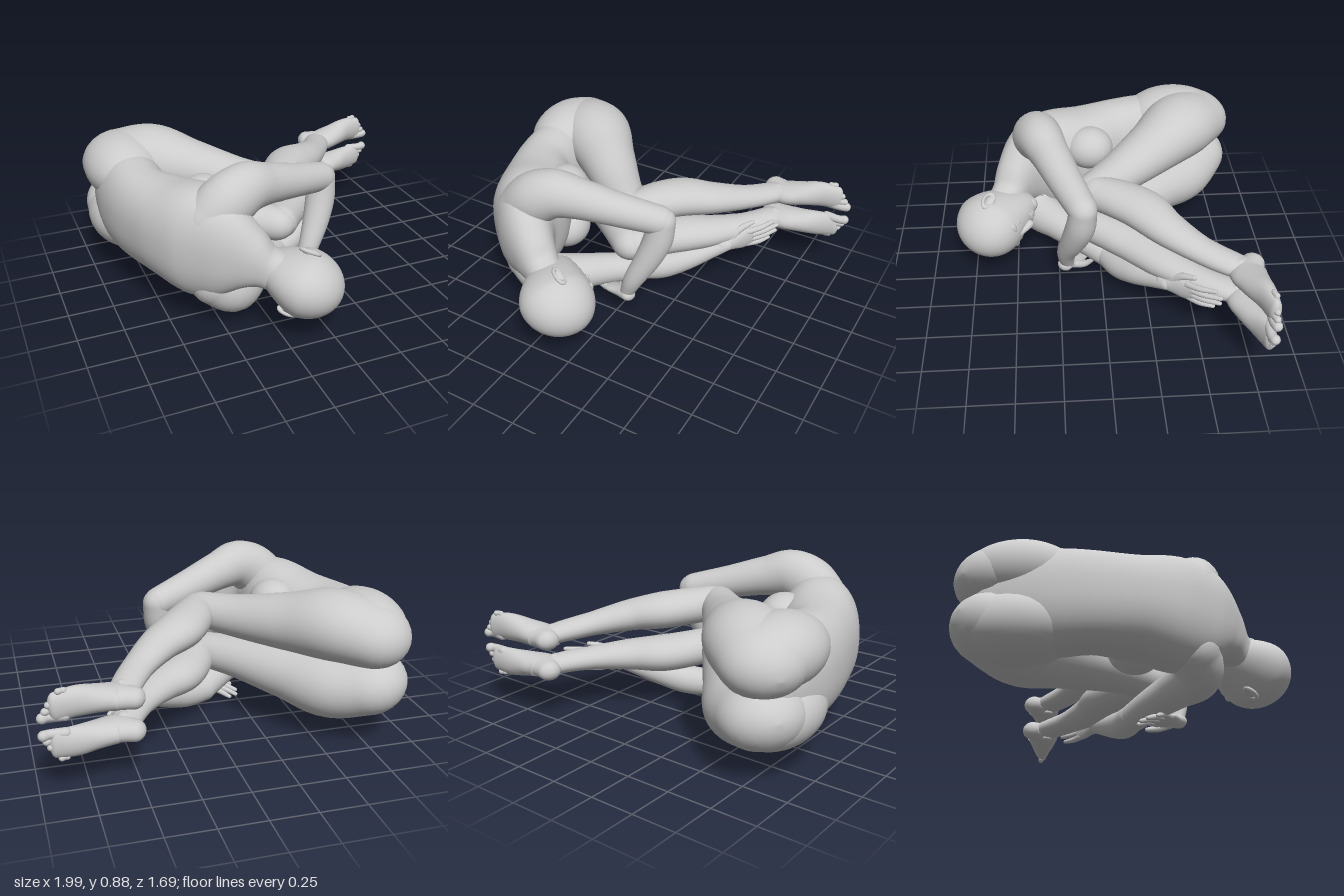
import * as THREE from 'three';

const V = (x, y, z) => new THREE.Vector3(x, y, z);
const material = new THREE.MeshStandardMaterial({ color: 0xcccccc, roughness: 0.8 });
const UP = V(0, 1, 0);

function addMesh(parent, name, geometry) {
  const mesh = new THREE.Mesh(geometry, material);
  mesh.name = name;
  parent.add(mesh);
  return mesh;
}

// Smooth limb through sections [x, y, z, sideRadius, upRadius] with rounded ends;
// power below 1 makes the cross-section boxier
function loft(sections, { up = UP, steps = 6, sides = 28, cap = 1, power = 1 } = {}) {
  const path = new THREE.CatmullRomCurve3(sections.map(s => V(s[0], s[1], s[2])));
  const radii = new THREE.CatmullRomCurve3(sections.map(s => V(s[3], s[4] ?? s[3], 0)));
  const positions = [], index = [];
  const bulge = v => Math.sign(v) * Math.abs(v) ** power;
  let rings = 0;
  const ring = (t, scale, offset) => {
    const T = path.getTangent(t), c = path.getPoint(t), r = radii.getPoint(t);
    const u = up.clone().addScaledVector(T, -up.dot(T)).normalize();
    const s = u.clone().cross(T);
    c.addScaledVector(T, offset * cap * Math.min(r.x, r.y));
    for (let j = 0; j < sides; j++) {
      const a = (j / sides) * Math.PI * 2;
      const p = c.clone().addScaledVector(s, bulge(Math.cos(a)) * r.x * scale)
        .addScaledVector(u, bulge(Math.sin(a)) * r.y * scale);
      positions.push(p.x, p.y, p.z);
    }
    rings++;
  };
  const n = (sections.length - 1) * steps, q = 7;
  for (let k = 0; k < q; k++) {
    const f = (k / q) * Math.PI / 2;
    ring(0, Math.max(Math.sin(f), 0.002), -Math.cos(f));
  }
  for (let i = 0; i <= n; i++) ring(i / n, 1, 0);
  for (let k = q - 1; k >= 0; k--) {
    const f = (k / q) * Math.PI / 2;
    ring(1, Math.max(Math.sin(f), 0.002), Math.cos(f));
  }
  for (let i = 0; i < rings - 1; i++) for (let j = 0; j < sides; j++) {
    const j2 = (j + 1) % sides;
    const a = i * sides + j, b = i * sides + j2, c = b + sides, d = a + sides;
    index.push(a, b, c, a, c, d);
  }
  const g = new THREE.BufferGeometry();
  g.setAttribute('position', new THREE.Float32BufferAttribute(positions, 3));
  g.setIndex(index);
  g.computeVertexNormals();
  return g;
}

function ellipsoid(parent, name, p, r) {
  const m = addMesh(parent, name, new THREE.SphereGeometry(1, 32, 24));
  m.position.set(...p);
  m.scale.set(...r);
  return m;
}

// Hand in local axes: +z to the fingertips, +y the back of the hand, thumb on the given x side
function hand(name, wrist, tip, backNormal, thumb) {
  const g = new THREE.Group();
  g.name = name;
  const z = tip.clone().sub(wrist).normalize();
  const y = backNormal.clone().addScaledVector(z, -backNormal.dot(z)).normalize();
  g.matrix.makeBasis(y.clone().cross(z), y, z).setPosition(wrist);
  g.matrix.decompose(g.position, g.quaternion, g.scale);
  addMesh(g, 'palm', loft([[0, 0, -0.03, 0.043, 0.036], [0, 0, 0.04, 0.05, 0.032],
    [0, 0, 0.11, 0.066, 0.027], [0, 0, 0.165, 0.062, 0.02]]));
  [0.145, 0.175, 0.165, 0.12].forEach((len, i) => {
    const x = thumb * (0.047 - i * 0.031), out = x * 0.25;
    addMesh(g, 'finger', loft([[x, 0, 0.14, 0.019], [x + out * 0.5, 0.006, 0.16 + len * 0.45, 0.017],
      [x + out, -0.008, 0.165 + len, 0.012]], { sides: 12, steps: 4 }));
  });
  addMesh(g, 'thumb', loft([[thumb * 0.03, -0.005, 0.03, 0.026], [thumb * 0.075, -0.012, 0.095, 0.022],
    [thumb * 0.095, -0.016, 0.18, 0.013]], { sides: 12, steps: 4 }));
  return g;
}

// Foot with sole toward -z and toes toward +x; big = side (in y) of the big toe
function foot(heelY, toeY, big) {
  const g = new THREE.Group();
  g.name = 'foot';
  const mid = (heelY + toeY) / 2;
  addMesh(g, 'footBody', loft([[0.525, heelY, -0.768, 0.064, 0.054], [0.6, heelY, -0.728, 0.1, 0.06],
    [0.7, mid, -0.745, 0.083, 0.067], [0.81, toeY, -0.777, 0.054, 0.078],
    [0.905, toeY + big * 0.008, -0.797, 0.034, 0.074]]));
  for (let i = 0; i < 5; i++) {
    const y = toeY + big * (0.058 - i * 0.032), r = i ? 0.02 - i * 0.001 : 0.027;
    const end = 0.967 - i * 0.012 - i * i * 0.002;
    addMesh(g, 'toe', loft([[0.86, y, -0.795, r], [end - 0.025, y, -0.793, r * 0.9],
      [end, y, -0.803, r]], { sides: 12, steps: 4 }));
  }
  return g;
}

function leg(name, hipY, y, heelY, toeY, big) {
  const g = new THREE.Group();
  g.name = name;
  addMesh(g, 'thigh', loft([[-0.77, hipY[0], -0.625, 0.225, 0.175], [-0.615, hipY[1], -0.52, 0.222, 0.19],
    [-0.42, (hipY[1] + y[0]) / 2, -0.342, 0.173, 0.158], [-0.2, y[0], -0.125, 0.13, 0.12],
    [-0.04, y[0], 0.03, 0.105, 0.1]], { sides: 40, cap: 1.2 }));
  // buttock carries the hip smoothly into the back
  ellipsoid(g, 'buttock', [-0.775, (hipY[0] + hipY[1]) / 2, -0.5], [0.22, 0.186, 0.31]);
  const plan = [[0.0, 0.025, 0.1, 0.098], [0.07, -0.1, 0.125, 0.1], [0.165, -0.225, 0.134, 0.1],
    [0.3, -0.335, 0.112, 0.086], [0.45, -0.505, 0.085, 0.064], [0.54, -0.65, 0.08, 0.056],
    [0.57, -0.72, 0.07, 0.05]];
  addMesh(g, 'lowerLeg', loft(plan.map(([x, z, a, b], i) => [x, y[i], z, a, b])));
  ellipsoid(g, 'kneecap', [0.0, y[0], 0.085], [0.05, 0.06, 0.05]);
  for (const s of [-1, 1]) ellipsoid(g, 'ankleBone', [0.565, heelY + s * 0.045, -0.685], [0.032, 0.02, 0.032]);
  g.add(foot(heelY, toeY, big));
  return g;
}

// Head in local axes: y to the crown, z to the face
function head() {
  const g = new THREE.Group();
  g.name = 'head';
  const y = V(0.8, -0.3, 0.45).normalize();
  const z = V(0.45, -0.1, -0.9);
  z.addScaledVector(y, -z.dot(y)).normalize();
  g.matrix.makeBasis(y.clone().cross(z), y, z).setPosition(-0.13, 0.29, 0.63);
  g.matrix.decompose(g.position, g.quaternion, g.scale);
  const skull = new THREE.SphereGeometry(1, 48, 36), p = skull.attributes.position;
  for (let i = 0; i < p.count; i++) {
    const vx = p.getX(i), vy = p.getY(i), vz = p.getZ(i);
    const low = Math.max(0, -vy), front = Math.max(0, vz);
    // jaw narrows and moves forward, face flattens
    p.setXYZ(i, vx * 0.178 * (1 - 0.28 * low),
      vy * (0.215 + 0.05 * low),
      vz * (0.218 - 0.025 * front) + 0.085 * low * low);
  }
  skull.computeVertexNormals();
  addMesh(g, 'skull', skull);
  addMesh(g, 'nose', loft([[0, 0.015, 0.174, 0.02], [0, -0.035, 0.192, 0.021],
    [0, -0.075, 0.204, 0.027, 0.023]], { up: V(0, 0, 1), sides: 16 }));
  ellipsoid(g, 'upperLip', [0, -0.122, 0.184], [0.042, 0.014, 0.018]);
  ellipsoid(g, 'lowerLip', [0, -0.144, 0.179], [0.036, 0.014, 0.018]);
  ellipsoid(g, 'chin', [0, -0.2, 0.14], [0.05, 0.045, 0.045]);
  for (const s of [-1, 1]) {
    ellipsoid(g, 'eye', [s * 0.065, -0.012, 0.16], [0.031, 0.017, 0.02]);
    ellipsoid(g, 'brow', [s * 0.06, 0.032, 0.157], [0.05, 0.024, 0.024]);
    const ear = addMesh(g, 'ear', new THREE.TorusGeometry(0.034, 0.011, 10, 28));
    ear.position.set(s * 0.178, -0.025, -0.02);
    ear.rotation.set(0, s * (Math.PI / 2 - 0.35), 0);
    ear.scale.set(0.8, 1.35, 1);
    ellipsoid(g, 'innerEar', [s * 0.172, -0.035, -0.013], [0.013, 0.04, 0.024]);
  }
  return g;
}

export function createModel() {
  const model = new THREE.Group();
  model.name = 'curledFigure';

  // Torso from pelvis to neck
  addMesh(model, 'torso', loft([[-0.76, 0.45, -0.6, 0.17, 0.2], [-0.77, 0.45, -0.45, 0.187, 0.26],
    [-0.768, 0.45, -0.3, 0.195, 0.285], [-0.745, 0.45, -0.12, 0.19, 0.272], [-0.655, 0.45, 0.07, 0.222, 0.278],
    [-0.565, 0.45, 0.255, 0.22, 0.31], [-0.475, 0.44, 0.41, 0.162, 0.28], [-0.38, 0.41, 0.49, 0.122, 0.185],
    [-0.3, 0.37, 0.535, 0.102, 0.115], [-0.2, 0.32, 0.59, 0.095, 0.1]], { sides: 56, cap: 0.8, power: 0.88 }));
  for (const [side, y] of [['left', 0.58], ['right', 0.305]])
    ellipsoid(model, side + 'Breast', [-0.465, y, 0.045], [0.135, 0.125, 0.145]);
  model.add(head());

  // Upper (left) arm, folded down in front of the face
  const leftArm = new THREE.Group();
  leftArm.name = 'leftArm';
  addMesh(leftArm, 'upperArm', loft([[-0.54, 0.6, 0.35, 0.14, 0.14], [-0.44, 0.685, 0.355, 0.145, 0.15],
    [-0.33, 0.73, 0.33, 0.133, 0.138], [-0.2, 0.71, 0.28, 0.113, 0.113], [0, 0.66, 0.2, 0.098, 0.094],
    [0.2, 0.61, 0.115, 0.083, 0.083]]));
  addMesh(leftArm, 'forearm', loft([[0.215, 0.605, 0.11, 0.077], [0.2, 0.49, 0.125, 0.083],
    [0.16, 0.37, 0.16, 0.075], [0.09, 0.22, 0.205, 0.056], [0.045, 0.11, 0.205, 0.041]], { up: V(0.3, 0, 1) }));
  leftArm.add(hand('leftHand', V(0.035, 0.095, 0.205), V(-0.26, 0.01, 0.06), V(0.1, 1, -0.2), -1));
  model.add(leftArm);

  // Lower (right) arm, reaching along the shins
  const rightArm = new THREE.Group();
  rightArm.name = 'rightArm';
  addMesh(rightArm, 'upperArm', loft([[-0.52, 0.25, 0.36, 0.13, 0.14], [-0.42, 0.175, 0.365, 0.128, 0.133],
    [-0.28, 0.155, 0.24, 0.108, 0.105], [-0.14, 0.135, 0.09, 0.093, 0.088], [-0.02, 0.11, -0.035, 0.08, 0.078]]));
  addMesh(rightArm, 'forearm', loft([[-0.02, 0.108, -0.04, 0.077], [0.1, 0.122, -0.105, 0.082],
    [0.22, 0.162, -0.185, 0.072], [0.34, 0.21, -0.28, 0.052], [0.41, 0.24, -0.335, 0.042]]));
  rightArm.add(hand('rightHand', V(0.41, 0.24, -0.335), V(0.62, 0.275, -0.585), V(0.75, -0.1, 0.65), 1));
  model.add(rightArm);

  // Folded legs, left above right
  model.add(leg('leftLeg', [0.59, 0.62], [0.57, 0.57, 0.56, 0.535, 0.495, 0.47, 0.46], 0.455, 0.48, -1));
  model.add(leg('rightLeg', [0.32, 0.288], [0.325, 0.315, 0.305, 0.3, 0.295, 0.29, 0.285], 0.28, 0.272, 1));
  return model;
}
